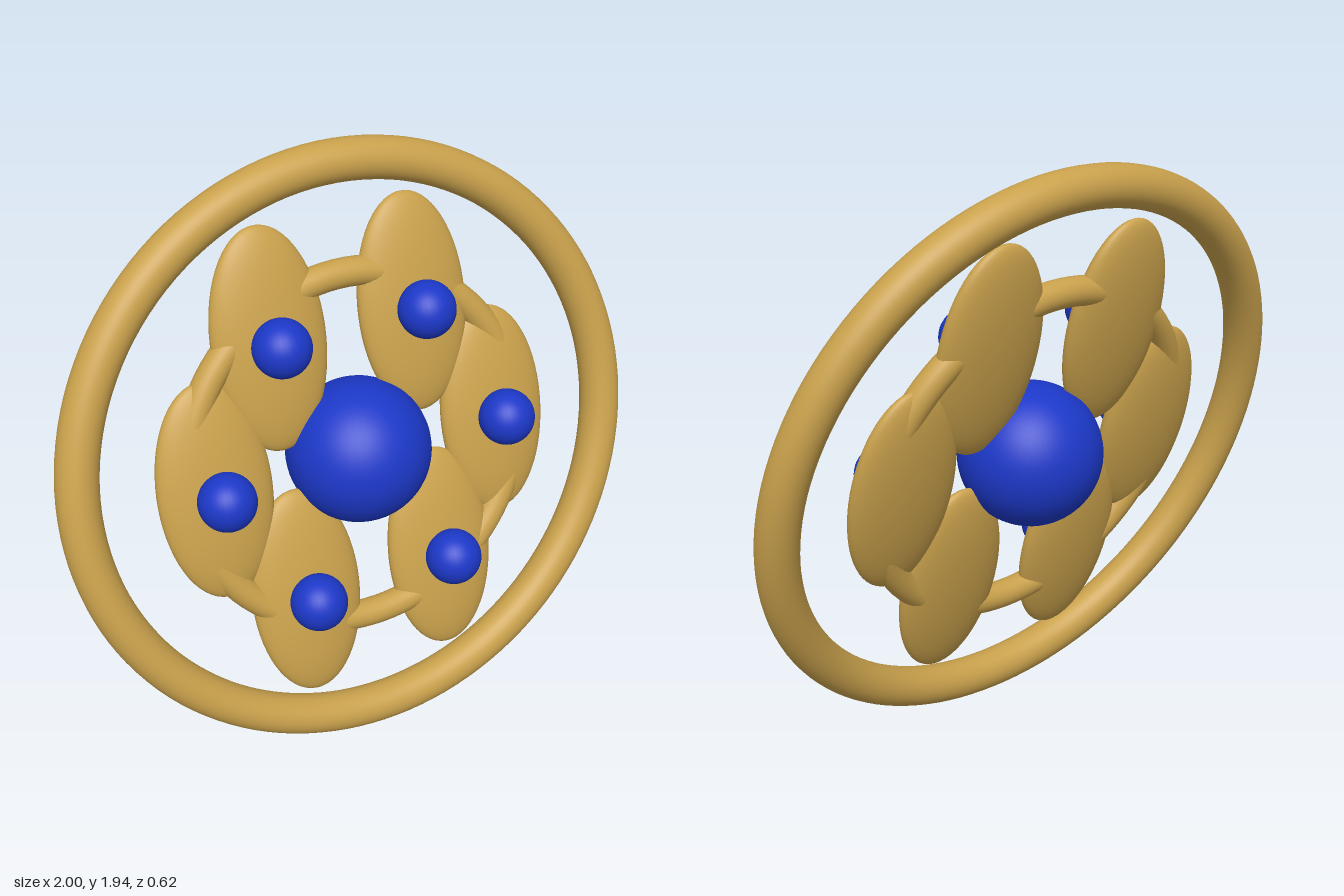
import * as THREE from 'three';

export function createModel() {
  const model = new THREE.Group();
  const gold = new THREE.MeshStandardMaterial({ color: 0xc9a14c });
  const blue = new THREE.MeshStandardMaterial({ color: 0x1c38c8 });

  // Everything lies in one disc that leans back
  const disc = new THREE.Group();
  disc.name = 'tiltedDisc';
  disc.position.y = 0.973;
  disc.rotation.x = -Math.PI / 12;
  model.add(disc);

  const add = (name, geometry, material, x = 0, y = 0, z = 0) => {
    const mesh = new THREE.Mesh(geometry, material);
    mesh.name = name;
    mesh.position.set(x, y, z);
    disc.add(mesh);
    return mesh;
  };

  // Outer rim, and the inner ring that links the petals
  add('outerRing', new THREE.TorusGeometry(0.933, 0.067, 32, 128), gold);
  add('innerRing', new THREE.TorusGeometry(0.586, 0.047, 24, 96), gold);

  // Central ball
  add('centreBall', new THREE.SphereGeometry(0.237, 48, 32), blue);

  // Six upright oval petals, each with a bead on its front
  const petalGeometry = new THREE.SphereGeometry(1, 48, 32).scale(0.19, 0.363, 0.064);
  const beadGeometry = new THREE.SphereGeometry(0.093, 32, 24);
  for (let i = 0; i < 6; i++) {
    const angle = (i * Math.PI) / 3;
    const x = 0.5 * Math.cos(angle);
    const y = 0.5 * Math.sin(angle);
    add('petal' + (i + 1), petalGeometry, gold, x, y);
    add('bead' + (i + 1), beadGeometry, blue, x, y, 0.1);
  }
  return model;
}
